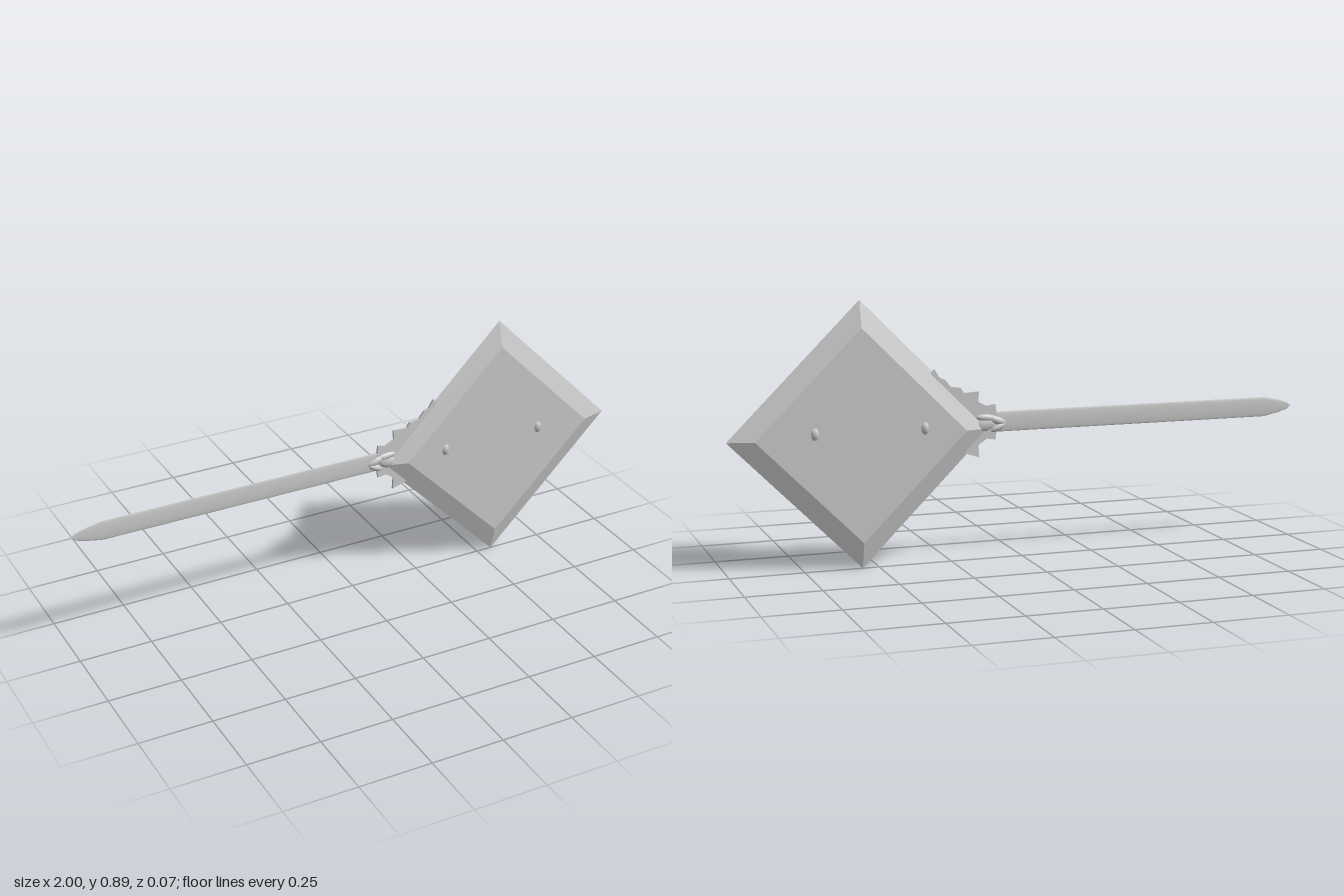
import * as THREE from 'three';

const material = new THREE.MeshStandardMaterial({ color: 0xcccccc });
const flatMaterial = new THREE.MeshStandardMaterial({ color: 0xcccccc, flatShading: true });

export function createModel() {
  const model = new THREE.Group();
  const add = (name, geometry, mat, x, y, z = 0) => {
    const mesh = new THREE.Mesh(geometry, mat);
    mesh.name = name;
    mesh.position.set(x, y, z);
    model.add(mesh);
    return mesh;
  };
  const profile = (points) => points.map(([r, h]) => new THREE.Vector2(r, h));

  // Square panel standing on its corner, bevelled to a sharp rim
  const panel = new THREE.LatheGeometry(
    profile([[0, -0.025], [0.355, -0.025], [0.444, 0], [0.355, 0.025], [0, 0.025]]), 4);
  panel.rotateX(Math.PI / 2);
  add('panel', panel.toNonIndexed(), flatMaterial, 0.556, 0.444);

  // Studs passing through the panel, domed on both faces
  for (const x of [0.345, 0.715]) {
    add('stud', new THREE.SphereGeometry(1, 10, 8), material, x, 0.46).scale.set(0.021, 0.031, 0.035);
  }

  // Thin flattened stick with a tapered tip
  const stick = new THREE.LatheGeometry(
    profile([[0, -1], [0.012, -0.985], [0.023, -0.95], [0.034, -0.895], [0.034, 0.14], [0, 0.16]]), 20);
  stick.rotateZ(-Math.PI / 2);
  add('stick', stick, material, 0, 0.465).scale.z = 0.1;

  // Spiky collar behind the panel corner, upper outline then lower outline
  const outline = [
    [0.06, 0.465], [0.09, 0.49], [0.095, 0.525], [0.125, 0.52], [0.155, 0.535], [0.152, 0.57],
    [0.205, 0.567], [0.215, 0.585], [0.25, 0.59], [0.27, 0.615], [0.288, 0.622], [0.305, 0.65],
    [0.36, 0.6], [0.36, 0.38], [0.25, 0.33], [0.205, 0.365], [0.152, 0.348],
    [0.155, 0.39], [0.125, 0.41], [0.095, 0.405], [0.09, 0.44],
  ];
  const collar = new THREE.ExtrudeGeometry(
    new THREE.Shape(profile(outline)), { depth: 0.008, bevelEnabled: false });
  add('collar', collar, flatMaterial, 0, 0, -0.004);

  // Knot of small rounded lobes where the stick meets the panel
  const lobes = [[0.09, 0.47, 0.036, 0.014, 0.35], [0.085, 0.446, 0.03, 0.012, -0.45],
    [0.13, 0.458, 0.036, 0.023, -0.3], [0.125, 0.48, 0.04, 0.013, 0.1]];
  for (const [x, y, length, height, angle] of lobes) {
    const lobe = add('knotLobe', new THREE.SphereGeometry(1, 14, 10), material, x, y);
    lobe.scale.set(length, height, 0.012);
    lobe.rotation.z = angle;
  }
  return model;
}
